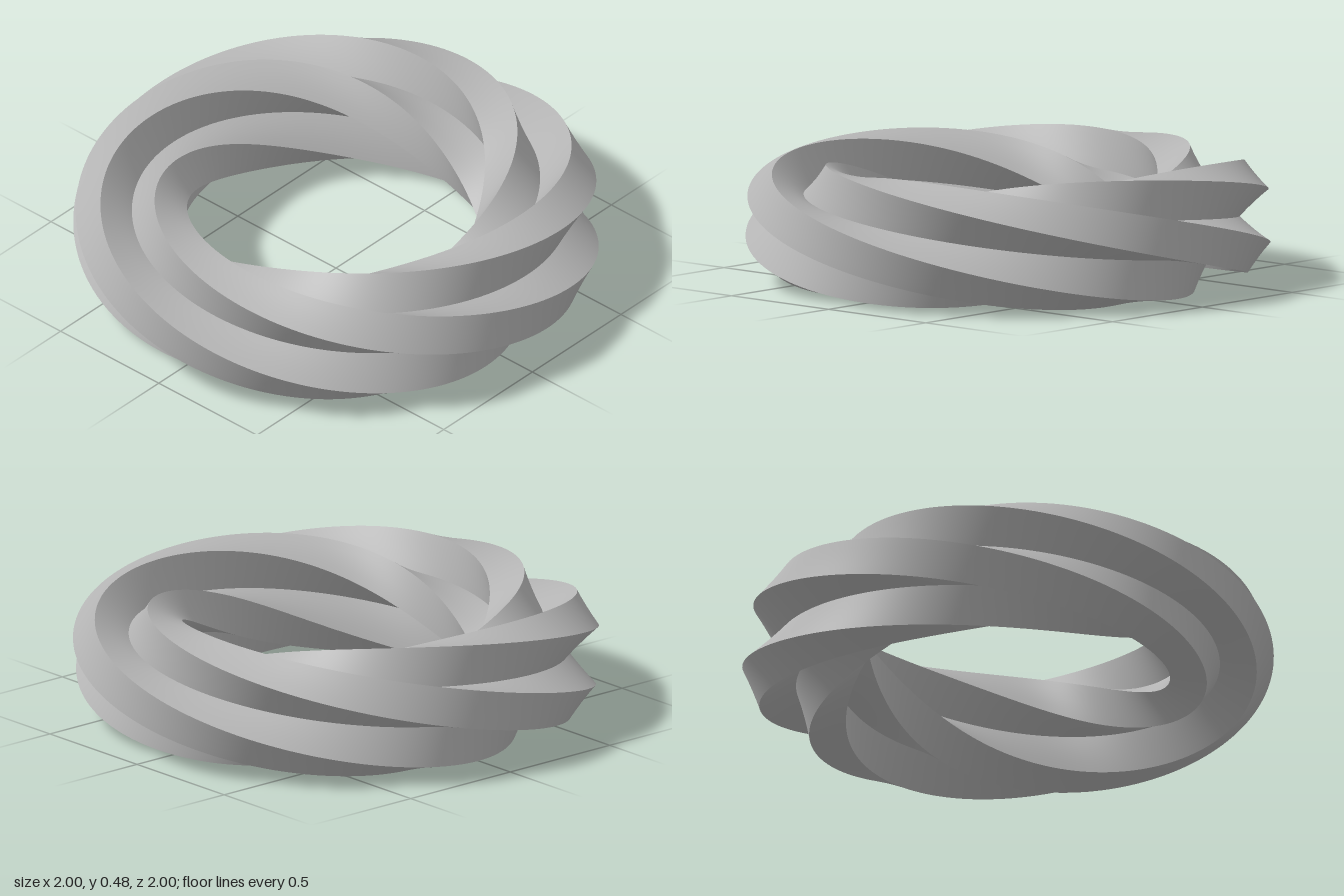
import * as THREE from 'three';

const RING = 0.77;   // ring radius
const ARM = 0.228;   // half length of the cross
const HALF = 0.075;  // half width of each arm
const STEPS = 192, SPAN = 4;

// Cross outline, counterclockwise: three corners per arm
function crossProfile() {
  const pts = [];
  for (let k = 0; k < 4; k++) {
    for (const [x, y] of [[ARM, -HALF], [ARM, HALF], [HALF, HALF]]) {
      pts.push(new THREE.Vector2(x, y).rotateAround(new THREE.Vector2(), k * Math.PI / 2));
    }
  }
  return pts;
}

// One face of the cross, swept round the ring while turning once about it
function twistedFace(a, b) {
  const pos = [], idx = [], row = SPAN + 1;
  for (let i = 0; i < STEPS; i++) {
    const t = i / STEPS * Math.PI * 2;
    for (let j = 0; j <= SPAN; j++) {
      const p = a.clone().lerp(b, j / SPAN).rotateAround(new THREE.Vector2(), t);
      pos.push((RING + p.x) * Math.cos(t), 0.24 + p.y, (RING + p.x) * Math.sin(t));
      if (j < SPAN) {
        const c = i * row + j, d = ((i + 1) % STEPS) * row + j;
        idx.push(c, c + 1, d, c + 1, d + 1, d);
      }
    }
  }
  const g = new THREE.BufferGeometry();
  g.setAttribute('position', new THREE.Float32BufferAttribute(pos, 3));
  g.setIndex(idx);
  g.computeVertexNormals();
  return g;
}

export function createModel() {
  const group = new THREE.Group();
  group.name = 'twistedRing';
  const grey = new THREE.MeshStandardMaterial({ color: 0xb4b4b4 });
  grey.name = 'grey';
  const names = ['armEnd', 'armSide', 'grooveSide'];
  const pts = crossProfile();
  pts.forEach((p, i) => {
    const mesh = new THREE.Mesh(twistedFace(p, pts[(i + 1) % pts.length]), grey);
    mesh.name = names[i % 3] + (Math.floor(i / 3) + 1);
    group.add(mesh);
  });
  return group;
}
